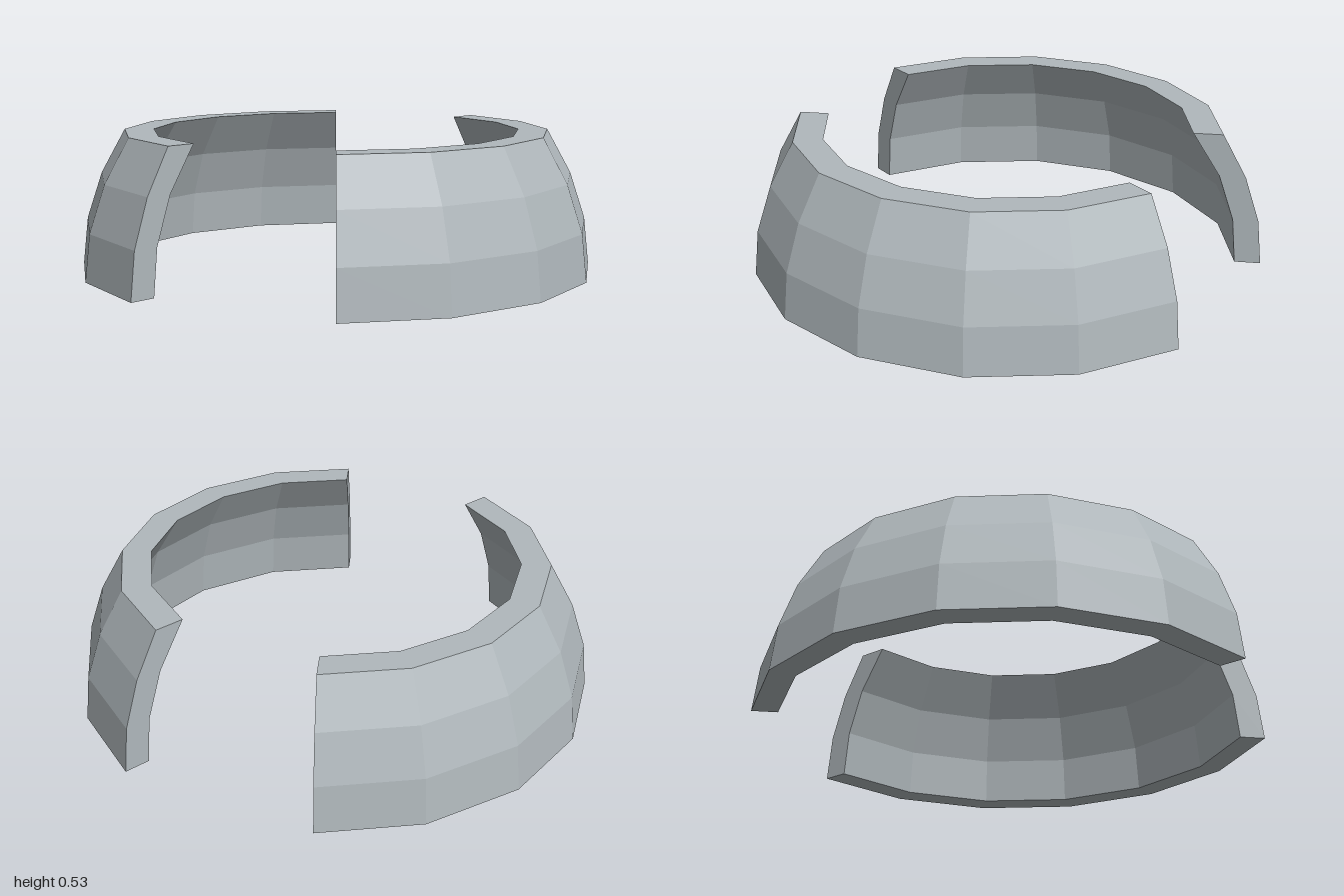
import * as THREE from 'three';

const grey = new THREE.MeshStandardMaterial({ color: 0xb0b8bc, flatShading: true });
grey.name = 'pale grey';

// Closed wall section (radius, height): up the outside, down the inside
const section = [
  [1, 0], [0.98, 0.18], [0.92, 0.36], [0.826, 0.53],
  [0.712, 0.53], [0.82, 0.36], [0.882, 0.18], [0.9, 0],
].map(([r, y]) => new THREE.Vector2(r, y));

const start = Math.PI / 8;
const sweep = Math.PI * 0.75;

// Flat end face of the wall; side is 1 at the start of the sweep, -1 at its end
function endCap(side, angle) {
  const shape = new THREE.Shape(section.map(p => new THREE.Vector2(p.x * side, p.y)));
  const cap = new THREE.Mesh(new THREE.ShapeGeometry(shape), grey);
  cap.name = side > 0 ? 'frontEndCap' : 'backEndCap';
  cap.rotation.y = angle - side * Math.PI / 2;
  return cap;
}

// One curved wall with six facets around, tapering inward as it rises
function curvedWall(name) {
  const wall = new THREE.Group();
  wall.name = name;
  const shell = new THREE.Mesh(
    new THREE.LatheGeometry([...section, section[0].clone()], 6, start, sweep), grey);
  shell.name = 'wallShell';
  wall.add(shell, endCap(1, start), endCap(-1, start + sweep));
  return wall;
}

export function createModel() {
  const model = new THREE.Group();
  model.name = 'splitDomeRing';
  const left = curvedWall('leftWall');
  const right = curvedWall('rightWall');
  right.rotation.y = Math.PI;
  model.add(left, right);
  return model;
}
